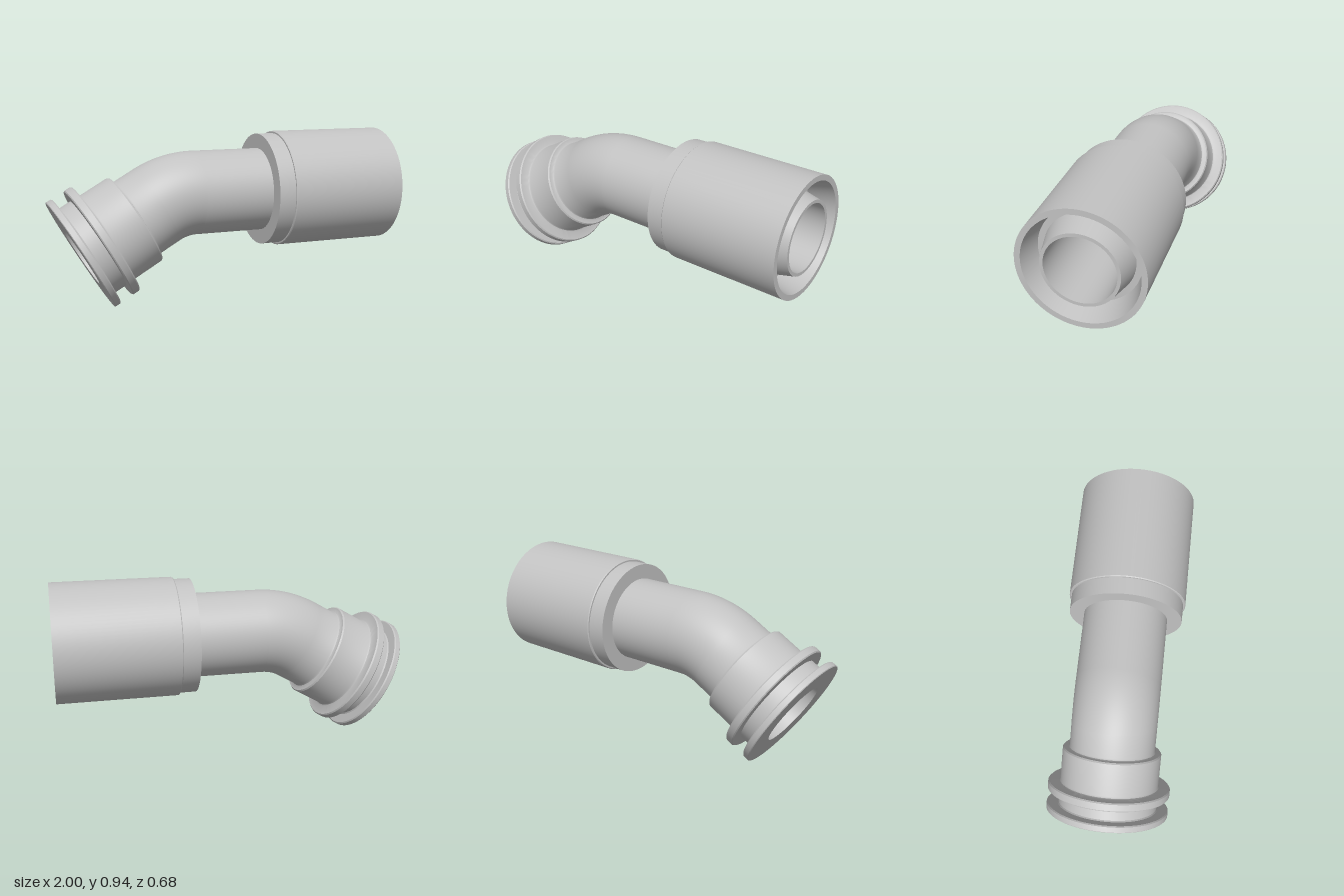
import * as THREE from 'three';
import { toCreasedNormals } from 'three/addons/utils/BufferGeometryUtils.js';

const SEGMENTS = 96;
const PIPE_R = 0.238, BORE_R = 0.187;
const AXIS_Y = 0.613;              // height of the straight run
const BEND_X = -0.17, BEND_R = 0.45, BEND_ANGLE = Math.PI / 6;

export function createModel() {
  const group = new THREE.Group();
  const steel = new THREE.MeshStandardMaterial({ color: 0xc2c2c2, side: THREE.DoubleSide });
  steel.name = 'light grey steel';

  const add = (name, geometry) => {
    const mesh = new THREE.Mesh(geometry, steel);
    mesh.name = name;
    group.add(mesh);
    return mesh;
  };
  // Profile points are [radius, distance along the axis]
  const turned = (name, points) => add(name, toCreasedNormals(
    new THREE.LatheGeometry(points.map(([r, t]) => new THREE.Vector2(r, t)), SEGMENTS), 0.5));

  // Straight pipe, crimped sleeve and the tapered nose inside its open end
  const sleeve = turned('straightPipeAndSleeve', [
    [PIPE_R, BEND_X], [PIPE_R, 0.225],
    [0.322, 0.225], [0.322, 0.322],
    [0.331, 0.322], [0.335, 0.327], [0.335, 1],
    [0.304, 1], [0.27, 0.86], [0.237, 0.86],
    [0.205, 1], [BORE_R, 1], [BORE_R, BEND_X],
  ]);
  sleeve.rotation.z = -Math.PI / 2;
  sleeve.position.y = AXIS_Y;

  // Bend, with an outer wall and a bore
  for (const [name, r] of [['bendWall', PIPE_R], ['bendBore', BORE_R]]) {
    const bend = add(name, new THREE.TorusGeometry(BEND_R, r, SEGMENTS, 24, BEND_ANGLE));
    bend.rotation.z = Math.PI / 2;
    bend.position.set(BEND_X, AXIS_Y - BEND_R, 0);
  }

  // Flanged end: face flange, groove, second ring, collar and neck
  const length = 0.5;
  const flange = turned('flangedEnd', [
    [BORE_R, 0], [0.338, 0], [0.342, 0.004], [0.342, 0.032], [0.336, 0.038],
    [0.283, 0.038], [0.277, 0.044], [0.277, 0.115],
    [0.336, 0.115], [0.342, 0.121], [0.342, 0.156], [0.336, 0.163],
    [0.287, 0.163], [0.279, 0.167], [0.275, 0.175],
    [0.275, 0.352], [0.269, 0.36], [0.25, 0.36], [0.242, 0.364], [PIPE_R, 0.372],
    [PIPE_R, length], [BORE_R, length], [BORE_R, 0],
  ]);
  flange.rotation.z = BEND_ANGLE - Math.PI / 2;
  flange.position.set(
    BEND_X - BEND_R * Math.sin(BEND_ANGLE) - length * Math.cos(BEND_ANGLE),
    AXIS_Y - BEND_R * (1 - Math.cos(BEND_ANGLE)) - length * Math.sin(BEND_ANGLE), 0);

  return group;
}
